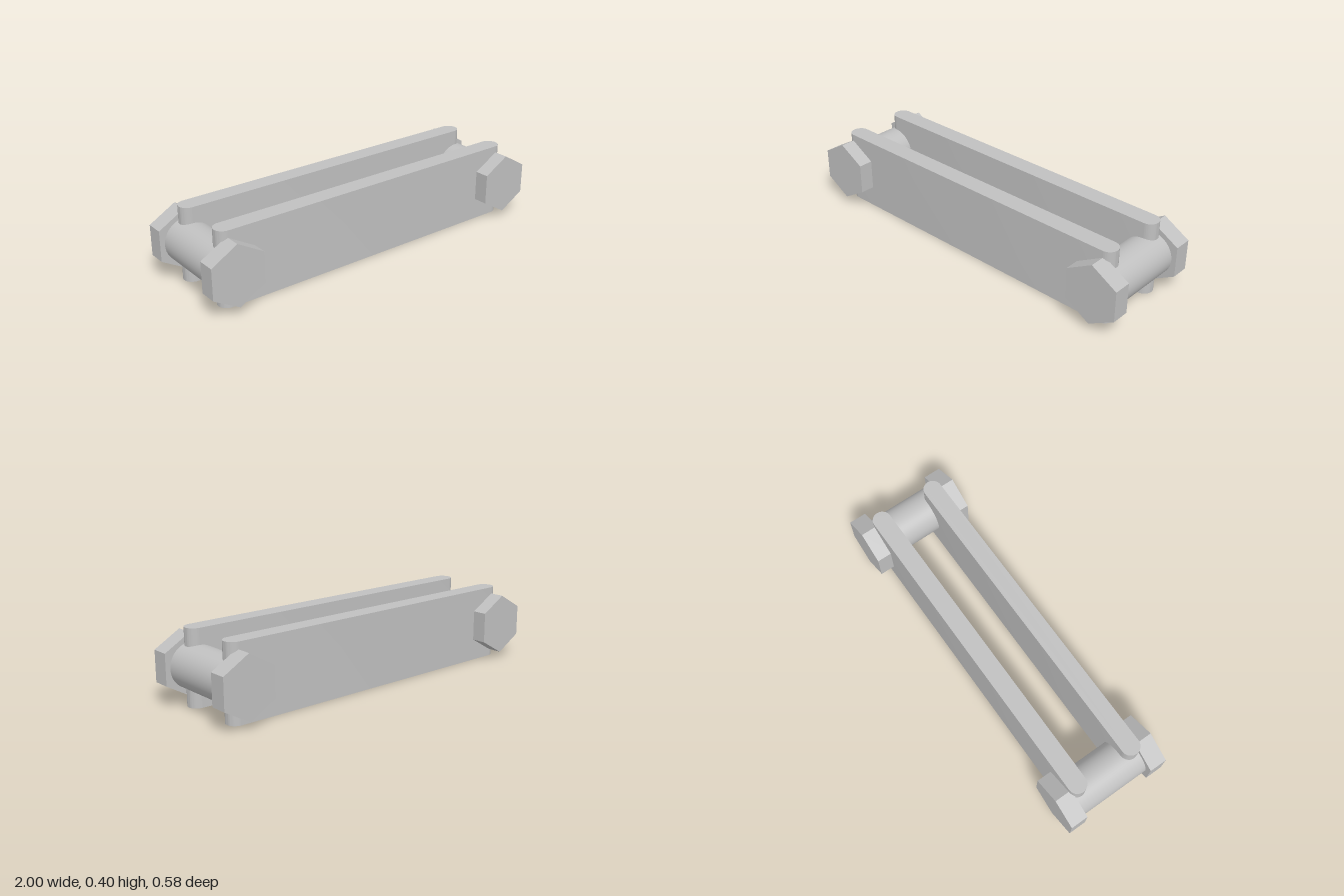
import * as THREE from 'three';
import { toCreasedNormals } from 'three/addons/utils/BufferGeometryUtils.js';

const STEEL = new THREE.MeshStandardMaterial({ color: 0xc0c0c0 });
STEEL.name = 'steel grey';

const HEIGHT = 0.396;  // plate height
const MID = HEIGHT / 2; // pin axis height
const PIN_X = 0.86;    // pin distance from the centre

// Side plate: a slot outline seen from above, raised to full height
function plateGeometry() {
  const r = 0.049, half = 0.905 - r;
  const outline = new THREE.Shape();
  outline.moveTo(-half, -r);
  outline.lineTo(half, -r);
  outline.absarc(half, 0, r, -Math.PI / 2, Math.PI / 2, false);
  outline.lineTo(-half, r);
  outline.absarc(-half, 0, r, Math.PI / 2, Math.PI * 1.5, false);
  const geo = new THREE.ExtrudeGeometry(outline, { depth: HEIGHT, bevelEnabled: false, curveSegments: 24 });
  geo.rotateX(-Math.PI / 2);
  return toCreasedNormals(geo, Math.PI / 6);
}

// Hexagonal head with its corners pointing up and down
function headGeometry() {
  const geo = new THREE.CylinderGeometry(0.162, 0.162, 0.094, 6).rotateX(Math.PI / 2);
  return toCreasedNormals(geo, Math.PI / 6);
}

export function createModel() {
  const model = new THREE.Group();
  model.name = 'chainLink';

  const add = (name, geo, x, y, z) => {
    const mesh = new THREE.Mesh(geo, STEEL);
    mesh.name = name;
    mesh.position.set(x, y, z);
    model.add(mesh);
  };

  const plate = plateGeometry();
  const head = headGeometry();
  const pin = new THREE.CylinderGeometry(0.115, 0.115, 0.4, 64).rotateX(Math.PI / 2);

  // Front and back plates
  for (const [side, s] of [['front', 1], ['back', -1]]) {
    add(side + 'Plate', plate, 0, 0, s * 0.16);
  }

  // A pin at each end, with a hexagonal head on both of its ends
  for (const [end, e] of [['left', 1], ['right', -1]]) {
    add(end + 'Pin', pin, e * PIN_X, MID, 0);
    for (const [side, s] of [['Front', 1], ['Back', -1]]) {
      add(end + side + 'HexHead', head, e * PIN_X, MID, s * 0.241);
    }
  }
  return model;
}
